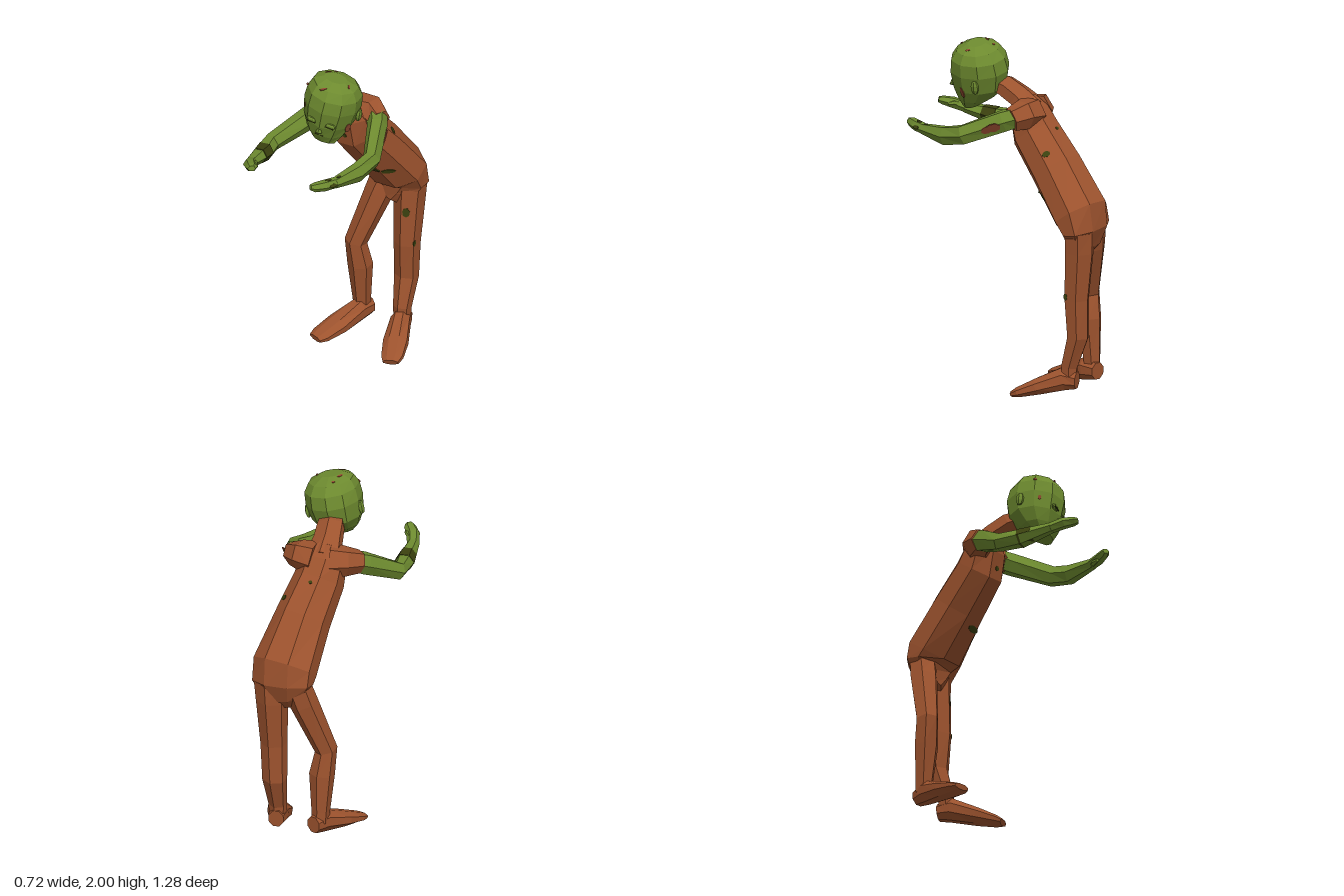
import * as THREE from 'three';

const mat = (name, color) => Object.assign(new THREE.MeshStandardMaterial({ color, flatShading: true }), { name });
const V = (x, y, z) => new THREE.Vector3(x, y, z);

// Faceted skin over rings [x, y, z, halfWidth, halfDepth] placed along a path.
// Rings stand square to the path (or level, if level is true); ref gives the width direction.
function loft(rings, sides, ref, level = false) {
  const c = rings.map(r => V(r[0], r[1], r[2]));
  const pos = [], idx = [], last = rings.length - 1;
  rings.forEach((r, i) => {
    const t = level ? V(0, 1, 0) : c[Math.min(i + 1, last)].clone().sub(c[Math.max(i - 1, 0)]).normalize();
    const u = ref.clone().addScaledVector(t, -ref.dot(t)).normalize();
    const v = t.clone().cross(u);
    const k = 1 / Math.cos(Math.PI / sides);
    for (let j = 0; j < sides; j++) {
      const a = (j + 0.5) / sides * Math.PI * 2;
      const p = c[i].clone().addScaledVector(u, r[3] * k * Math.cos(a)).addScaledVector(v, r[4] * k * Math.sin(a));
      pos.push(p.x, p.y, p.z);
    }
  });
  for (let i = 0; i < last; i++) for (let j = 0; j < sides; j++) {
    const n = (j + 1) % sides, a = i * sides, b = a + sides;
    idx.push(a + j, a + n, b + n, a + j, b + n, b + j);
  }
  for (let j = 1; j < sides - 1; j++) {
    idx.push(0, j + 1, j);
    idx.push(last * sides, last * sides + j, last * sides + j + 1);
  }
  const g = new THREE.BufferGeometry();
  g.setAttribute('position', new THREE.Float32BufferAttribute(pos, 3));
  g.setIndex(idx);
  const flat = g.toNonIndexed();
  flat.computeVertexNormals();
  return flat;
}

export function createModel() {
  const model = new THREE.Group();
  model.name = 'stoopingFigure';
  const skin = mat('greenSkin', 0x6d8a2f);
  const cloth = mat('brownCloth', 0x9d532e);
  const dark = mat('darkGreen', 0x3b410f);
  const rust = mat('rustScar', 0x8e482e);
  const X = V(1, 0, 0), Y = V(0, 1, 0);
  const add = (name, geometry, material, parent = model) => {
    const m = new THREE.Mesh(geometry, material);
    m.name = name;
    parent.add(m);
    return m;
  };

  // Torso bent forward from the hips
  const torso = add('torso', loft([
    [0.03, 0.865, -0.50, 0.05, 0.045],
    [0.05, 0.925, -0.525, 0.12, 0.075],
    [0.058, 1.0, -0.54, 0.172, 0.097],
    [0.06, 1.085, -0.505, 0.177, 0.138],
    [0.035, 1.31, -0.325, 0.15, 0.138],
    [0.01, 1.49, -0.165, 0.135, 0.13],
    [0.005, 1.61, -0.115, 0.13, 0.095],
    [0.0, 1.68, -0.08, 0.07, 0.055],
  ], 8, X), cloth);
  add('neck', loft([
    [0, 1.62, -0.14, 0.1, 0.06],
    [0.01, 1.69, -0.05, 0.078, 0.055],
    [0.03, 1.74, 0.03, 0.072, 0.055],
    [0.05, 1.76, 0.09, 0.06, 0.045],
  ], 6, X), cloth);

  // Shoulder sleeves
  add('rightSleeve', loft([
    [-0.04, 1.60, -0.12, 0.09, 0.09],
    [-0.12, 1.60, -0.09, 0.075, 0.075],
    [-0.175, 1.58, -0.02, 0.058, 0.058],
  ], 6, Y), cloth);
  add('leftSleeve', loft([
    [0.05, 1.61, -0.15, 0.085, 0.09],
    [0.13, 1.62, -0.16, 0.075, 0.075],
    [0.20, 1.60, -0.125, 0.06, 0.055],
  ], 6, Y), cloth);

  // Arms reaching forward, with flattened hands
  add('rightArm', loft([
    [-0.15, 1.59, -0.05, 0.055, 0.055],
    [-0.19, 1.56, 0.01, 0.058, 0.055],
    [-0.312, 1.455, 0.20, 0.046, 0.044],
    [-0.29, 1.455, 0.33, 0.045, 0.048],
    [-0.257, 1.485, 0.51, 0.026, 0.03],
  ], 6, Y), skin);
  add('rightForearmBand', loft([
    [-0.292, 1.455, 0.315, 0.048, 0.051],
    [-0.276, 1.468, 0.395, 0.040, 0.043],
  ], 6, Y), dark);
  add('rightHand', loft([
    [-0.257, 1.485, 0.50, 0.026, 0.03],
    [-0.225, 1.51, 0.565, 0.028, 0.034],
    [-0.185, 1.525, 0.61, 0.022, 0.03],
    [-0.17, 1.53, 0.63, 0.014, 0.02],
  ], 6, Y), skin);
  const leftArm = add('leftArm', loft([
    [0.175, 1.61, -0.13, 0.055, 0.052],
    [0.21, 1.59, -0.08, 0.057, 0.05],
    [0.31, 1.50, 0.13, 0.052, 0.044],
    [0.295, 1.472, 0.26, 0.05, 0.042],
    [0.262, 1.48, 0.44, 0.027, 0.027],
  ], 6, Y), skin);
  const leftHand = add('leftHand', loft([
    [0.262, 1.48, 0.43, 0.027, 0.028],
    [0.235, 1.485, 0.50, 0.028, 0.03],
    [0.205, 1.49, 0.555, 0.024, 0.025],
    [0.19, 1.495, 0.575, 0.014, 0.016],
  ], 6, Y), skin);
  add('rightThumb', loft([[-0.235, 1.50, 0.52, 0.014, 0.014], [-0.20, 1.515, 0.545, 0.012, 0.012], [-0.18, 1.51, 0.57, 0.008, 0.008]], 5, Y), skin);
  add('leftThumb', loft([[0.245, 1.47, 0.45, 0.014, 0.014], [0.215, 1.46, 0.48, 0.012, 0.012], [0.20, 1.46, 0.51, 0.008, 0.008]], 5, Y), skin);

  // Legs
  add('rightLeg', loft([
    [-0.135, 0.13, -0.45, 0.042, 0.042],
    [-0.135, 0.20, -0.445, 0.046, 0.046],
    [-0.135, 0.42, -0.43, 0.064, 0.06],
    [-0.152, 0.57, -0.412, 0.056, 0.058],
    [-0.055, 0.88, -0.50, 0.072, 0.07],
    [-0.02, 1.0, -0.53, 0.075, 0.065],
  ], 6, X), cloth);
  const leftLeg = add('leftLeg', loft([
    [0.122, 0.13, -0.47, 0.044, 0.04],
    [0.122, 0.20, -0.47, 0.046, 0.044],
    [0.115, 0.38, -0.525, 0.063, 0.055],
    [0.122, 0.60, -0.52, 0.067, 0.064],
    [0.125, 0.88, -0.54, 0.08, 0.075],
    [0.13, 1.0, -0.545, 0.085, 0.075],
  ], 6, X), cloth);

  // Feet, turned outward, with blunt toes
  add('rightFoot', loft([
    [-0.115, 0.125, -0.50, 0.042, 0.048],
    [-0.135, 0.128, -0.42, 0.055, 0.064],
    [-0.185, 0.085, -0.27, 0.07, 0.044],
    [-0.222, 0.056, -0.16, 0.062, 0.026],
    [-0.235, 0.048, -0.12, 0.046, 0.016],
  ], 8, X), cloth);
  add('leftFoot', loft([
    [0.112, 0.122, -0.515, 0.042, 0.048],
    [0.132, 0.126, -0.44, 0.055, 0.064],
    [0.19, 0.072, -0.30, 0.07, 0.046],
    [0.232, 0.034, -0.20, 0.062, 0.029],
    [0.243, 0.02, -0.165, 0.046, 0.017],
  ], 8, X), cloth);

  // Head, turned and tilted to its left
  const head = new THREE.Group();
  head.name = 'head';
  head.position.set(0.073, 1.805, 0.175);
  head.rotation.set(0, 0.2, -0.2);
  model.add(head);
  const skull = add('skull', loft([
    [0.015, -0.19, 0.06, 0.068, 0.045],
    [0.005, -0.14, 0.03, 0.108, 0.1],
    [0, -0.07, 0.005, 0.14, 0.148],
    [0, 0.03, 0, 0.156, 0.164],
    [0, 0.105, 0.002, 0.151, 0.152],
    [-0.005, 0.155, 0.005, 0.125, 0.115],
    [-0.01, 0.185, 0.01, 0.065, 0.05],
  ], 10, X, true), skin, head);
  for (const s of [-1, 1]) {
    const ear = add('ear', new THREE.SphereGeometry(0.04, 6, 5), skin, head);
    ear.scale.set(0.45, 1.05, 0.6);
    ear.position.set(s * 0.158, -0.02, -0.03);
    const lid = add('eyelid', new THREE.SphereGeometry(0.03, 7, 5), skin, head);
    lid.scale.set(1.2, 0.6, 0.5);
    lid.position.set(s * 0.055, -0.045, 0.144);
    const slit = add('eyeSlit', new THREE.BoxGeometry(0.05, 0.004, 0.006), dark, head);
    slit.position.set(s * 0.055, -0.052, 0.157);
  }
  const nose = add('nose', new THREE.ConeGeometry(0.02, 0.055, 5), skin, head);
  nose.position.set(0, -0.08, 0.145);
  const mouth = add('mouth', new THREE.BoxGeometry(0.05, 0.004, 0.008), dark, head);
  mouth.position.set(0, -0.132, 0.134);

  // Thin stains and scars laid on the surface met by a ray
  model.updateMatrixWorld(true);
  const ray = new THREE.Raycaster();
  const patch = (name, target, material, from, dir, w, h, turn = 0) => {
    ray.set(V(...from), V(...dir));
    const hit = ray.intersectObject(target)[0];
    if (!hit) return;
    const n = hit.face.normal.clone().transformDirection(target.matrixWorld);
    const g = new THREE.CylinderGeometry(0.5, 0.5, 0.006, 7).rotateX(Math.PI / 2);
    const p = add(name, g.scale(w, h, 1).rotateZ(turn), material);
    p.position.copy(hit.point);
    p.lookAt(hit.point.clone().add(n));
  };
  const back = [0, 0, -1], inward = [-1, 0, 0], down = [0, -1, 0];
  patch('chestStain', torso, dark, [0.01, 1.48, 2], back, 0.03, 0.03);
  patch('bellyGash', torso, dark, [0.07, 1.18, 2], back, 0.09, 0.04, -0.1);
  patch('bellyGash', torso, dark, [0.14, 1.165, 2], back, 0.09, 0.035, -0.1);
  patch('backStain', torso, dark, [0, 3, -0.3], down, 0.025, 0.02);
  patch('sideStain', torso, dark, [2, 1.42, -0.33], inward, 0.05, 0.035, 0.5);
  patch('thighStain', leftLeg, dark, [0.15, 0.82, 2], back, 0.045, 0.06);
  patch('kneeStain', leftLeg, dark, [2, 0.62, -0.49], inward, 0.025, 0.04);
  patch('armScar', leftArm, rust, [2, 1.56, -0.055], inward, 0.085, 0.06, 0.3);
  patch('armScar', leftArm, rust, [2, 1.545, -0.02], inward, 0.07, 0.05, 0.6);
  patch('wristStain', leftArm, dark, [0.272, 3, 0.41], down, 0.02, 0.03);
  patch('handStain', leftHand, dark, [2, 1.485, 0.475], inward, 0.05, 0.022);
  patch('handStain', leftHand, dark, [0.245, 3, 0.475], down, 0.025, 0.04);
  patch('cheekScar', skull, rust, [2, 1.71, 0.21], inward, 0.035, 0.065);
  patch('browScar', skull, rust, [-0.04, 1.82, 2], back, 0.02, 0.03);
  for (const [x, z, w] of [[-0.02, 0.04, 0.03], [0.05, 0.1, 0.02], [0.035, 0.155, 0.04], [0.19, 0.18, 0.03], [0.09, 0.29, 0.045], [-0.04, 0.25, 0.025]])
    patch('scalpScar', skull, rust, [x, 3, z], down, w, 0.014, 0.4);

  return model;
}
